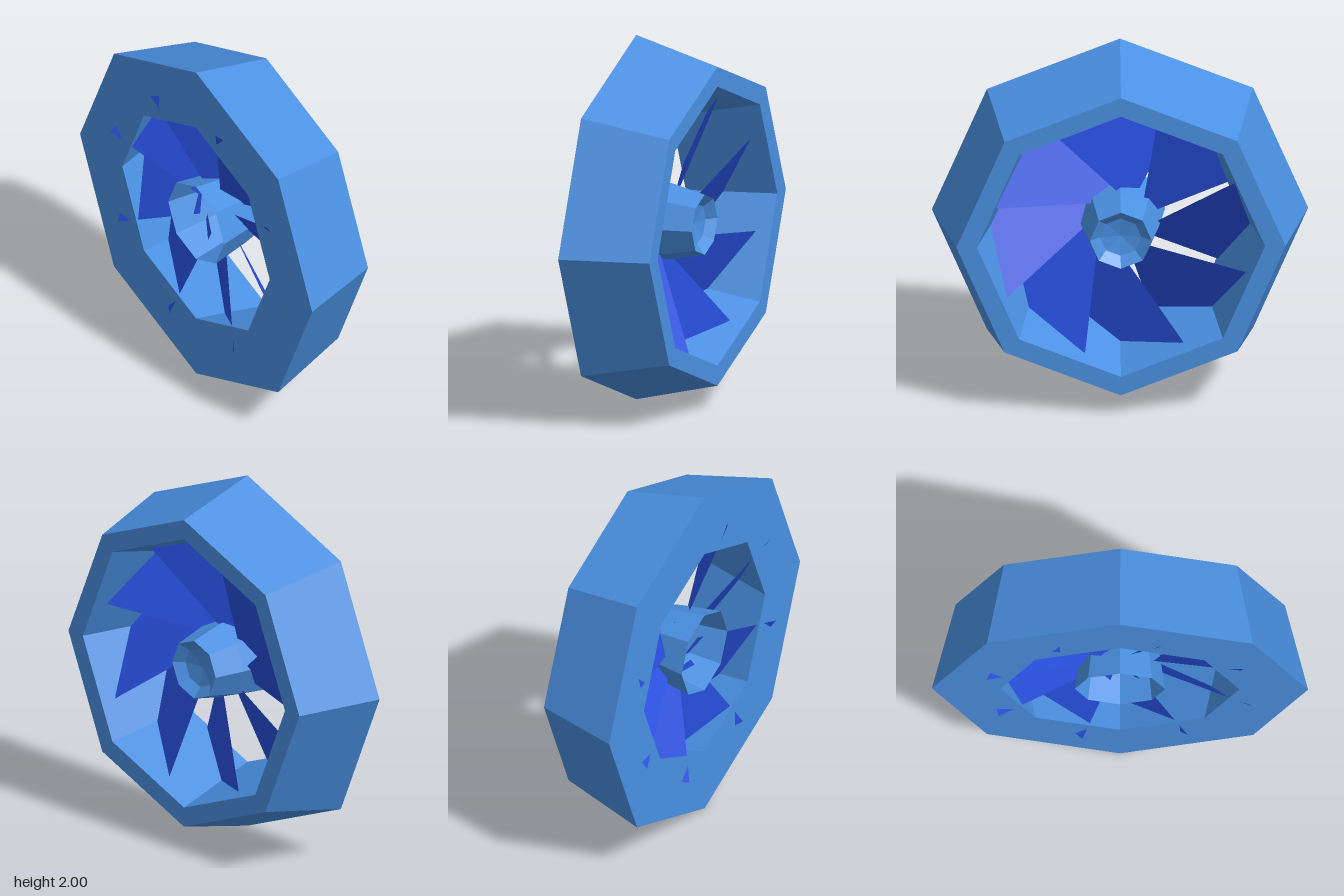
import * as THREE from 'three';

const SIDES = 8;
const shellMaterial = new THREE.MeshStandardMaterial({ color: 0x4a90e2, flatShading: true, side: THREE.DoubleSide });
const bladeMaterial = new THREE.MeshStandardMaterial({ color: 0x2850e0, flatShading: true, side: THREE.DoubleSide });

// Eight-sided solid of revolution around z, from [radius, z] pairs
function octagonLathe(name, profile) {
  const points = profile.map(([r, z]) => new THREE.Vector2(r, z));
  const geometry = new THREE.LatheGeometry(points, SIDES);
  geometry.rotateX(Math.PI / 2);
  const mesh = new THREE.Mesh(geometry, shellMaterial);
  mesh.name = name;
  return mesh;
}

// Flat blade, pitched so its leading edge is at the front
function bladeGeometry() {
  const outline = [[0.04, 0.155], [0.155, 0.125], [0.663, 0.19], [0.495, 0.55], [0.2, 0.71]];
  const geometry = new THREE.ShapeGeometry(new THREE.Shape(outline.map(([x, y]) => new THREE.Vector2(x, y))));
  const p = geometry.attributes.position;
  for (let i = 0; i < p.count; i++) {
    p.setZ(i, 0.25 - 0.441 * (p.getX(i) - 0.2) + 0.415 * (p.getY(i) - 0.71));
  }
  geometry.computeVertexNormals();
  return geometry;
}

export function createModel() {
  const model = new THREE.Group();
  model.name = 'ductedFan';

  // Outer ring, with a bore that widens towards the back
  model.add(octagonLathe('outerRing', [
    [0.875, -0.25], [1, 0.225], [0.635, 0.225], [0.766, -0.25], [0.875, -0.25],
  ]));

  // Open hub cup with a domed floor
  model.add(octagonLathe('hub', [
    [0, -0.11], [0.11, -0.13], [0.165, -0.175], [0.205, 0], [0.24, 0.225],
  ]));

  // Blades, their front tips just piercing the ring
  const blades = new THREE.Group();
  blades.name = 'blades';
  const geometry = bladeGeometry();
  for (let i = 0; i < SIDES; i++) {
    const blade = new THREE.Mesh(geometry, bladeMaterial);
    blade.name = `blade${i + 1}`;
    blade.rotation.z = (i * 2 * Math.PI) / SIDES;
    blades.add(blade);
  }
  model.add(blades);

  for (const part of model.children) part.position.y = 1;
  return model;
}
